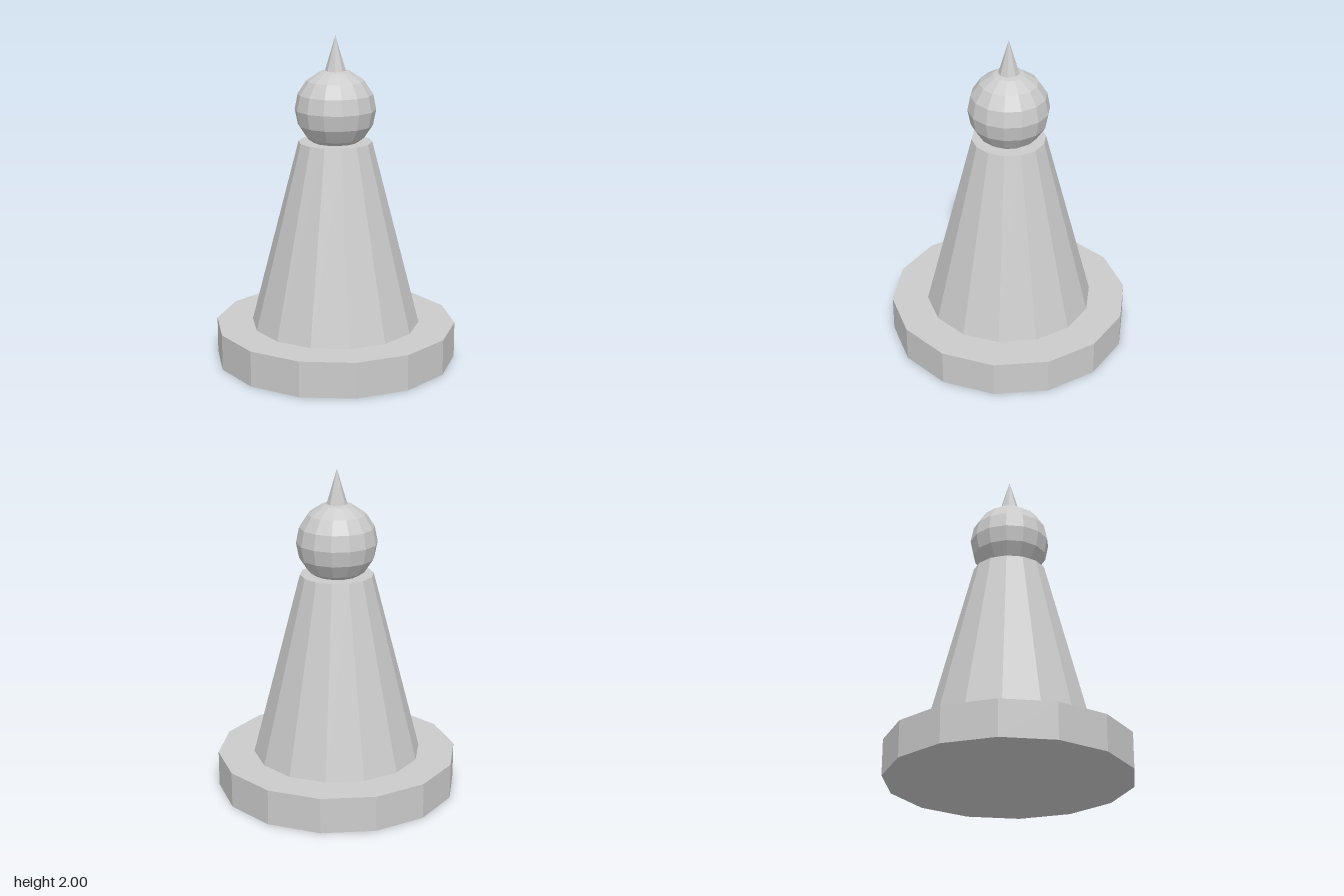
import * as THREE from 'three';

const SIDES = 14;

export function createModel() {
  const model = new THREE.Group();
  const material = new THREE.MeshStandardMaterial({ color: 0xcccccc, flatShading: true });

  function addPart(name, geometry, y) {
    const mesh = new THREE.Mesh(geometry, material);
    mesh.name = name;
    mesh.position.y = y;
    model.add(mesh);
  }

  // Faceted frustum standing on y = bottom, with a corner on the x axis
  function addFrustum(name, topRadius, bottomRadius, bottom, top, sides) {
    const geometry = new THREE.CylinderGeometry(topRadius, bottomRadius, top - bottom, sides);
    geometry.rotateY(Math.PI / 2);
    addPart(name, geometry, (bottom + top) / 2);
  }

  // Flat foot and tapering body
  addFrustum('base', 0.74, 0.74, 0, 0.22, SIDES);
  addFrustum('body', 0.223, 0.517, 0.22, 1.36, SIDES);

  // Round head, sunk slightly into the body
  addPart('head', new THREE.SphereGeometry(0.245, SIDES, 8), 1.557);

  // Pointed finial
  addFrustum('spike', 0, 0.063, 1.788, 2, 8);

  return model;
}
